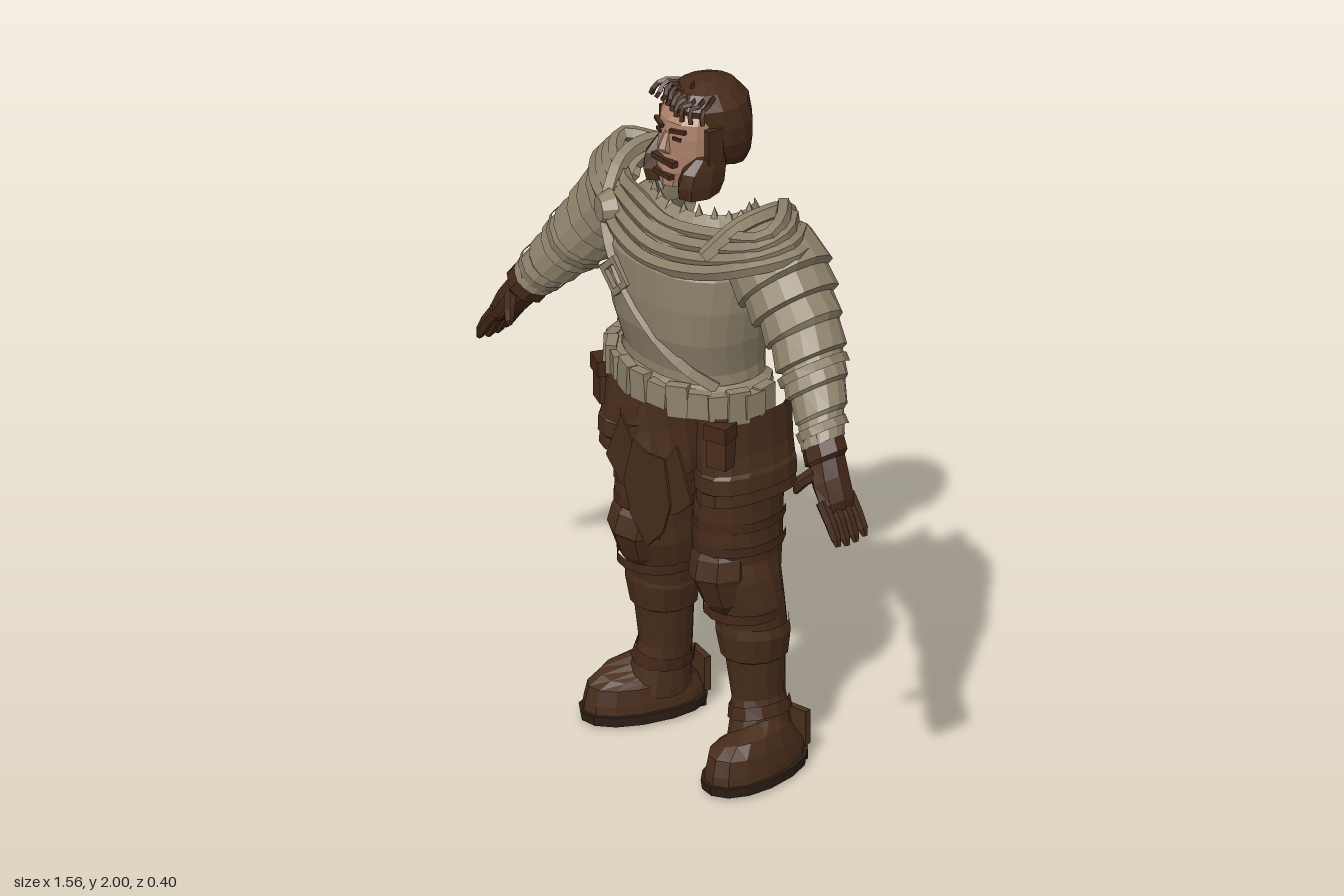
import * as THREE from 'three';

const mat = (name, color) => {
  const m = new THREE.MeshStandardMaterial({ color, side: THREE.DoubleSide });
  m.name = name;
  return m;
};

// Faceted version of any geometry
function flat(geo) {
  const g = geo.index ? geo.toNonIndexed() : geo;
  g.computeVertexNormals();
  return g;
}

// Skin over rings [x, y, z, half width, half depth] that follow a path in the xy plane.
// With a gap angle the skin is an open shell with a ragged slit at the back.
function loft(rings, sides = 12, power = 1, gap = 0) {
  const pos = [], idx = [], n = rings.length, cols = sides + 1;
  const pw = v => Math.sign(v) * Math.abs(v) ** power;
  rings.forEach(([x, y, z, a, b], i) => {
    const p = rings[Math.max(i - 1, 0)], q = rings[Math.min(i + 1, n - 1)];
    const len = Math.hypot(q[0] - p[0], q[1] - p[1]) || 1;
    const nx = (p[1] - q[1]) / len, ny = (q[0] - p[0]) / len;
    const g = gap * (1 + .15 * Math.sin(i * 5));
    for (let j = 0; j < cols; j++) {
      const t = -Math.PI / 2 + g + (j / sides) * (Math.PI - g) * 2, c = a * pw(Math.cos(t));
      pos.push(x + nx * c, y + ny * c, z + b * pw(Math.sin(t)));
    }
  });
  const first = n * cols, e = first - cols;
  pos.push(...rings[0].slice(0, 3), ...rings[n - 1].slice(0, 3));
  for (let j = 0; j < sides; j++) {
    for (let r = j; r < e; r += cols) idx.push(r, r + 1, r + cols, r + 1, r + cols + 1, r + cols);
    if (!gap) idx.push(first, j + 1, j, first + 1, e + j, e + j + 1);
  }
  const g = new THREE.BufferGeometry();
  g.setAttribute('position', new THREE.Float32BufferAttribute(pos, 3));
  g.setIndex(idx);
  return flat(g);
}

const tube = (pts, r, seg = 12, sides = 5) => flat(new THREE.TubeGeometry(
  new THREE.CatmullRomCurve3(pts.map(p => new THREE.Vector3(...p))), seg, r, sides));

const box = (w, h, d, x, y, z, ry = 0, rz = 0) =>
  flat(new THREE.BoxGeometry(w, h, d).rotateZ(rz).rotateY(ry).translate(x, y, z));

// Mirror across x and restore the corner order
function mirror(geo) {
  const g = geo.clone(), p = g.attributes.position, v = [];
  for (let i = 0; i < p.count; i += 3)
    for (const k of [i, i + 2, i + 1]) v.push(-p.getX(k), p.getY(k), p.getZ(k));
  g.setAttribute('position', new THREE.Float32BufferAttribute(v, 3));
  g.computeVertexNormals();
  return g;
}

export function createModel() {
  const root = new THREE.Group();
  root.name = 'armouredMan';
  const steel = mat('dull steel', 0x8e826b), cloth = mat('grey drape', 0x897d67);
  const leather = mat('brown leather', 0x482d1b), glove = mat('glove leather', 0x442718);
  const hair = mat('dark hair', 0x452a19), skin = mat('skin', 0xa97f67), sole = mat('sole', 0x2e1f15);
  const add = (name, geo, m) => {
    const mesh = new THREE.Mesh(geo, m);
    mesh.name = name;
    root.add(mesh);
  };
  const pair = (name, geo, m) => {
    add('left' + name, geo, m);
    add('right' + name, mirror(geo), m);
  };

  // Cuirass shell, collar and belt, all open at the back
  add('cuirass', loft([[0, 1.645, -.03, .16, .11], [0, 1.6, -.01, .21, .145], [0, 1.5, .012, .25, .185],
    [0, 1.4, .012, .25, .185], [0, 1.3, .01, .235, .178], [0, 1.2, 0, .212, .16], [0, 1.12, 0, .22, .16]], 18, .88, .75), steel);
  for (let i = 0; i < 13; i++) {
    const t = -.3 + (i / 12) * (Math.PI + .6);
    add('collarTatter', flat(new THREE.ConeGeometry(.03, .06 + .02 * Math.sin(i * 5), 4)
      .translate(.165 * Math.cos(t), 1.635, -.03 + .11 * Math.sin(t))), cloth);
  }
  add('belt', loft([[0, 1.175, .0, .225, .16], [0, 1.16, .005, .255, .168],
    [0, 1.1, .005, .265, .17], [0, 1.085, .005, .255, .165]], 18, .9, .95), steel);
  for (let i = 0; i < 15; i++) {
    const t = -.25 + (i / 14) * (Math.PI + .5), h = .08 + .014 * Math.sin(i * 4);
    add('beltPouch', box(.062, h, .03, .268 * Math.cos(t), 1.13, .01 + .168 * Math.sin(t),
      Math.PI / 2 - t, .1 * Math.sin(i * 3)), steel);
  }

  // Draped folds across the chest and around both shoulders
  for (let i = 0; i < 4; i++) {
    const h = i * .03, w = i * .022;
    add('chestFold', tube([[-.2, 1.565 + h * .6, .14 - w], [-.1, 1.535 + h, .17 - w], [.03, 1.515 + h, .178 - w],
      [.2, 1.535 + h, .145 - w], [.34, 1.585 + h * .8, .09 - w], [.4 - w, 1.61 + h * .8, -.03],
      [.33 - w, 1.6 + h, -.13 + w * .5]], .022, 20), cloth);
    add('rightShoulderFold', tube([[-.2, 1.58 + h * .4, .14 - w], [-.31, 1.6 + h * .7, .09 - w],
      [-.4 + w, 1.61 + h * .8, -.02], [-.33 + w, 1.6 + h * .8, -.12 + w * .5]], .022), cloth);
  }
  add('brooch', flat(new THREE.CylinderGeometry(.035, .052, .04, 10).rotateX(Math.PI / 2)
    .rotateY(-.3).translate(-.185, 1.575, .155)), steel);

  // Diagonal chest strap with an open buckle
  add('chestStrap', tube([[-.24, 1.6, .1], [-.18, 1.54, .155], [-.09, 1.43, .182], [.04, 1.31, .178],
    [.14, 1.22, .135], [.2, 1.17, .08]], .02, 16, 4), cloth);
  const frame = new THREE.Shape().moveTo(-.045, -.04).lineTo(.045, -.04).lineTo(.045, .04).lineTo(-.045, .04);
  frame.holes.push(new THREE.Path().moveTo(-.028, -.024).lineTo(-.028, .024).lineTo(.028, .024).lineTo(.028, -.024));
  add('buckle', flat(new THREE.ExtrudeGeometry(frame, { depth: .014, bevelEnabled: false })
    .rotateZ(-.8).translate(-.09, 1.425, .19)), steel);

  // Arms: stepped plates from shoulder to wrist
  pair('ArmPlates', loft([[.2, 1.6, -.05, .07, .1], [.26, 1.565, -.05, .125, .13], [.33, 1.5, -.05, .145, .14],
    [.335, 1.495, -.05, .12, .125], [.38, 1.45, -.045, .125, .13], [.385, 1.445, -.045, .102, .11],
    [.43, 1.4, -.035, .112, .115], [.435, 1.395, -.035, .094, .1], [.48, 1.34, -.02, .1, .105],
    [.485, 1.334, -.02, .083, .09], [.53, 1.28, 0, .09, .09], [.535, 1.274, 0, .076, .08],
    [.575, 1.225, .02, .078, .075], [.58, 1.219, .025, .066, .066], [.62, 1.165, .05, .064, .062]], 12, 1, .5), steel);
  pair('ShoulderLip', tube([[.21, 1.58, .13], [.25, 1.66, .05], [.262, 1.678, -.03], [.25, 1.665, -.11], [.21, 1.6, -.165]], .024), steel);
  pair('ShoulderSkin', box(.03, .008, .07, .205, 1.63, -.06, 0, .6), skin);
  for (const [x, y, z, r] of [[.5, 1.315, -.012, .1], [.6, 1.195, .036, .072]])
    pair('ArmStrap', loft([[x - .008, y + .01, z, r, r], [x + .008, y - .01, z, r, r]], 10, 1, .6), cloth);

  // Gloves
  pair('Glove', loft([[.605, 1.185, .045, .06, .06], [.645, 1.135, .058, .064, .062], [.65, 1.128, .06, .048, .055],
    [.68, 1.085, .07, .045, .058], [.715, 1.035, .075, .034, .056], [.725, 1.015, .075, .02, .05]], 8), glove);
  for (let i = 0; i < 4; i++) {
    const z = .03 + i * .03, e = [0, .02, .025, .01][i];
    pair('Finger', loft([[.705, 1.045, z, .02, .017], [.742, 1.0, z, .019, .017],
      [.767, .965 - e * .4, z, .016, .015], [.776, .945 - e * .4, z, .008, .008]], 6), glove);
  }
  pair('Thumb', loft([[.665, 1.115, .1, .022, .022], [.635, 1.085, .128, .019, .018],
    [.622, 1.06, .138, .014, .014], [.618, 1.045, .14, .007, .007]], 6), glove);

  // Face, hair and parted beard
  add('face', loft([[0, 1.93, -.01, .075, .06], [0, 1.89, .01, .09, .08], [0, 1.85, .012, .093, .085],
    [0, 1.8, .015, .092, .084], [0, 1.75, .02, .08, .086], [0, 1.705, .028, .055, .078]], 12), skin);
  add('nose', loft([[0, 1.86, .088, .011, .01], [0, 1.815, .1, .018, .022], [0, 1.8, .09, .02, .015]], 6), skin);
  add('hairCap', loft([[0, 1.98, -.045, .03, .035], [0, 1.962, -.04, .075, .085], [0, 1.925, -.043, .107, .115],
    [0, 1.87, -.055, .119, .11], [0, 1.82, -.063, .117, .1], [0, 1.77, -.078, .1, .082],
    [0, 1.74, -.09, .08, .06]], 14), hair);
  pair('Beard', loft([[.085, 1.8, .01, .02, .05], [.08, 1.765, .028, .035, .075], [.075, 1.725, .035, .042, .078],
    [.07, 1.69, .04, .042, .066]], 8), hair);
  add('moustache', box(.09, .016, .02, 0, 1.778, .1), hair);
  add('chinBeard', box(.07, .014, .02, 0, 1.738, .102), hair);
  pair('Sideburn', box(.02, .1, .05, .098, 1.83, .01), hair);
  pair('Brow', box(.05, .01, .012, .04, 1.872, .087, .3, .12), hair);
  pair('Eye', box(.026, .009, .008, .038, 1.85, .089, .3), hair);
  for (let i = 0; i < 9; i++) {
    const x = -.1 + i * .025, z = .055 * Math.sqrt(1 - (x / .12) ** 2), s = Math.sin(i * 7) * .015;
    add('hairLock', tube([[x * .7, 1.955, z - .04], [x * .95, 1.955 + s * .8, z],
      [x * 1.05 + s, 1.94, z + .02], [x * 1.15 + s, 1.915 + s, z + .025]], .008, 5, 4), hair);
  }
  add('hairTuft', flat(new THREE.ConeGeometry(.014, .06, 4).rotateZ(-.4).translate(.01, 1.972, .015)), hair);

  // Trousers, hip skirts and pouches
  pair('Trouser', loft([[.2, 1.1, -.015, .08, .13], [.185, .9, -.015, .09, .13], [.172, .8, -.015, .1, .132],
    [.168, .7, -.015, .104, .13], [.168, .64, -.02, .1, .122], [.175, .58, -.02, .108, .11],
    [.185, .5, -.035, .104, .1], [.19, .43, -.045, .098, .095]], 12, 1, .5), leather);
  pair('HipSkirt', loft([[.2, 1.1, -.015, .08, .14], [.202, .98, -.012, .083, .145], [.207, .93, -.012, .086, .147],
    [.207, .925, -.012, .092, .152], [.208, .88, -.012, .093, .153], [.208, .875, -.012, .087, .148],
    [.21, .84, -.012, .086, .15]], 12, .85, .6), leather);
  pair('HipPouch', box(.06, .12, .05, .25, 1.025, .105, .35), leather);
  pair('PouchFlap', box(.068, .045, .06, .25, 1.07, .107, .35), glove);

  // Hanging front flaps of thin leather
  const flap = (pts, z) => flat(new THREE.ExtrudeGeometry(
    new THREE.Shape(pts.map(p => new THREE.Vector2(...p))), { depth: .006, bevelEnabled: false }).translate(0, 0, z));
  add('frontFlap', flap([[0, .64], [.07, .71], [.1, .8], [.075, .93], [0, .92], [-.06, .935], [-.1, .8], [-.07, .71]], .155), leather);
  pair('SideFlap', flap([[.06, .75], [.13, .79], [.185, .84], [.12, .985], [.075, .925]], .148), leather);

  // Thigh straps, knee guards and boots
  for (const [x, y, r, d] of [[.17, .76, .107, .136], [.17, .69, .109, .135], [.186, .49, .11, .106]])
    pair('LegStrap', loft([[x, y + .014, -.018, r, d], [x, y - .014, -.018, r, d]], 12, 1, .6), glove);
  pair('KneeGuard', loft([[.165, .7, .04, .06, .05], [.17, .655, .045, .085, .075], [.175, .6, .05, .088, .085],
    [.178, .59, .05, .078, .078], [.18, .52, .035, .065, .065], [.182, .47, .02, .03, .04]], 8), leather);
  pair('BootShaft', loft([[.195, .45, -.045, .1, .097], [.195, .42, -.045, .106, .1], [.196, .345, -.05, .09, .092],
    [.197, .338, -.052, .078, .083], [.2, .22, -.06, .066, .076], [.21, .16, -.055, .07, .085],
    [.22, .08, -.05, .08, .1]], 12, 1, .45), leather);
  pair('AnkleStrap', loft([[.203, .2, -.06, .074, .086], [.21, .165, -.058, .078, .092]], 10, 1, .5), glove);
  const foot = (rings, p) => loft(rings, 14, p).rotateY(.22).translate(.24, 0, -.015);
  pair('Foot', foot([[-.01, .15, -.035, .055, .07], [0, .13, .0, .068, .12], [0, .105, .01, .08, .15],
    [0, .06, .0, .088, .172], [0, .03, 0, .09, .176]], .92), leather);
  pair('HeelGuard', box(.09, .1, .02, .205, .09, -.18, .2), leather);
  pair('Sole', foot([[0, .036, 0, .1, .185], [0, .008, 0, .098, .18]], .92), sole);
  pair('HeelPad', box(.1, .03, .09, .215, .015, -.13, .22), sole);
  return root;
}
